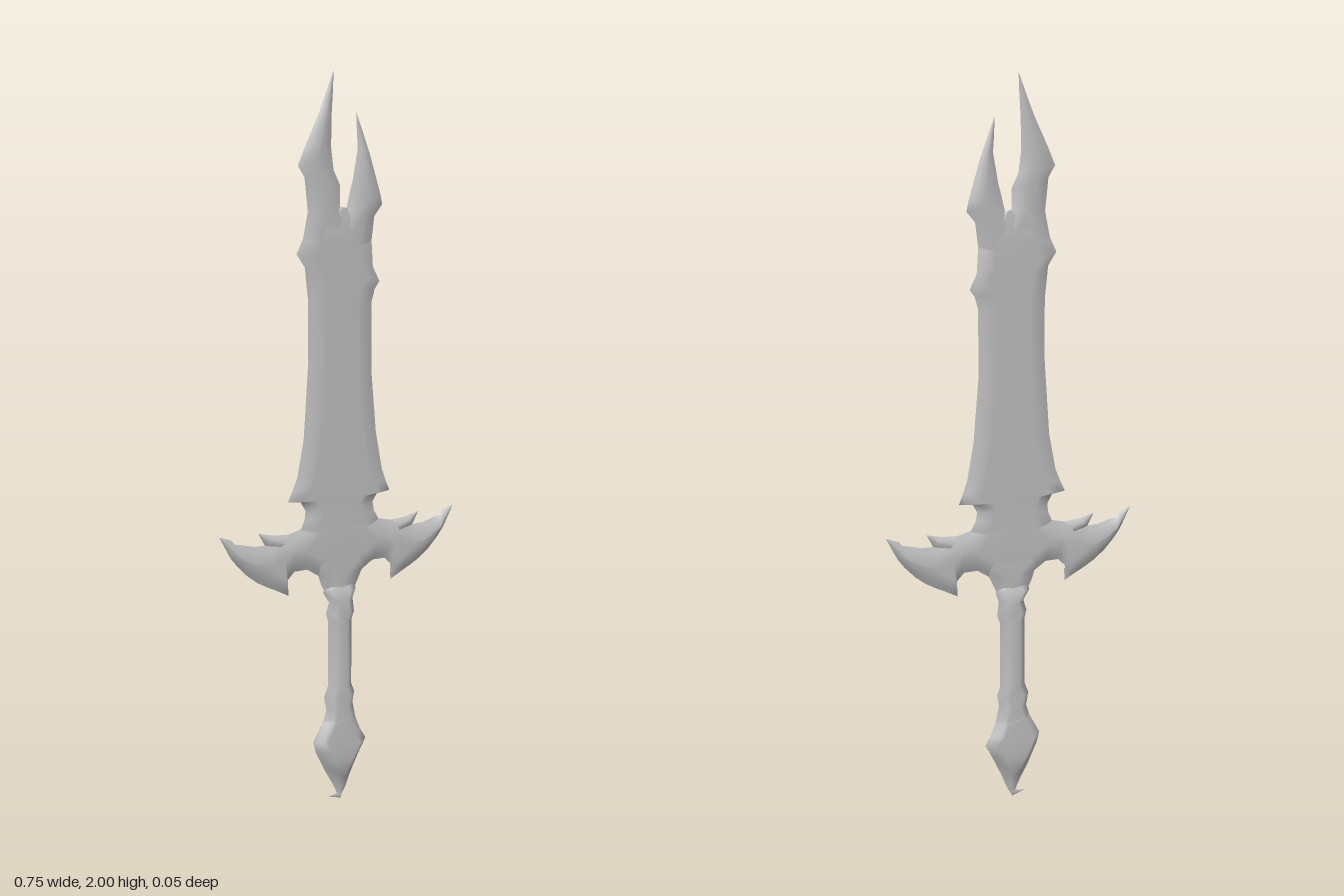
import * as THREE from 'three';

const steel = new THREE.MeshStandardMaterial({ color: 0xbcbcbc });
steel.name = 'grey steel';

// Loft between two outline rails. Each row is [ax, ay, bx, by, halfThickness?].
// The section rises from a sharp rim to a flat middle over the bevel width.
function loft(name, rows, thick, bevel) {
  const rise = [0, 0.3, 0.65, 1];
  const cols = rise.length * 2;
  // signed area of the outline decides the winding
  const outline = rows.map(r => new THREE.Vector2(r[0], r[1]))
    .concat(rows.map(r => new THREE.Vector2(r[2], r[3])).reverse());
  const flip = THREE.ShapeUtils.area(outline) > 0;
  const pos = [], idx = [];
  for (const side of [1, -1]) {
    const base = pos.length / 3;
    for (const [ax, ay, bx, by, t = thick] of rows) {
      const w = Math.hypot(bx - ax, by - ay);
      const inset = w > 0 ? Math.min(bevel / w, 0.48) : 0;
      const top = t * Math.min(1, w / 0.06);
      for (let c = 0; c < cols; c++) {
        const d = rise[Math.min(c, cols - 1 - c)];
        const u = c < cols / 2 ? d * inset : 1 - d * inset;
        pos.push(ax + (bx - ax) * u, ay + (by - ay) * u, side * top * Math.sin(d * Math.PI / 2));
      }
    }
    for (let r = 0; r < rows.length - 1; r++) {
      for (let c = 0; c < cols - 1; c++) {
        const a = base + r * cols + c, b = a + 1, e = a + cols, f = e + 1;
        if ((side > 0) !== flip) idx.push(a, b, f, a, f, e);
        else idx.push(a, f, b, a, e, f);
      }
    }
  }
  const geo = new THREE.BufferGeometry();
  geo.setAttribute('position', new THREE.Float32BufferAttribute(pos, 3));
  geo.setIndex(idx);
  geo.computeVertexNormals();
  const mesh = new THREE.Mesh(geo, steel);
  mesh.name = name;
  return mesh;
}

const mirror = rows => rows.map(([ax, ay, bx, by]) => [-ax, ay, -bx, by]);

export function createModel() {
  const sword = new THREE.Group();
  sword.name = 'sword';

  // Blade body with side barbs, ending in the crotch of the fork
  sword.add(loft('blade', [
    [-0.035, 0.58, 0.035, 0.58], [-0.06, 0.62, 0.055, 0.62],
    [-0.07, 0.65, 0.07, 0.65], [-0.10, 0.68, 0.10, 0.68],
    [-0.125, 0.785, 0.125, 0.785], [-0.113, 0.81, 0.11, 0.81],
    [-0.11, 0.835, 0.105, 0.835], [-0.125, 0.86, 0.118, 0.857],
    [-0.165, 0.865, 0.16, 0.862], [-0.15, 0.895, 0.148, 0.89],
    [-0.135, 0.93, 0.135, 0.925], [-0.115, 1.03, 0.115, 1.03],
    [-0.10, 1.24, 0.10, 1.20], [-0.10, 1.40, 0.10, 1.385],
    [-0.11, 1.49, 0.11, 1.42], [-0.135, 1.525, 0.125, 1.44],
    [-0.115, 1.565, 0.104, 1.48], [-0.10, 1.60, 0.098, 1.57],
    [0, 1.645, 0.02, 1.64],
  ], 0.013, 0.05));

  // Two prongs of the forked tip
  sword.add(loft('longProng', [
    [-0.115, 1.565, 0.06, 1.54], [-0.10, 1.635, 0, 1.645],
    [-0.11, 1.725, 0, 1.70], [-0.13, 1.755, -0.02, 1.74],
    [-0.11, 1.80, -0.028, 1.80], [-0.065, 1.89, -0.026, 1.89],
    [-0.04, 1.95, -0.022, 1.95], [-0.02, 2, -0.02, 2],
  ], 0.013, 0.045));
  sword.add(loft('shortProng', [
    [-0.04, 1.54, 0.098, 1.54], [0.02, 1.64, 0.108, 1.615],
    [0.03, 1.68, 0.133, 1.645], [0.04, 1.715, 0.128, 1.67],
    [0.055, 1.795, 0.093, 1.78], [0.052, 1.84, 0.07, 1.84],
    [0.05, 1.89, 0.05, 1.89],
  ], 0.013, 0.045));

  // Guard wings with a hook below and a barb above
  const wing = [
    [0, 0.84, 0, 0.64], [0.07, 0.82, 0.07, 0.65],
    [0.12, 0.787, 0.105, 0.672], [0.165, 0.777, 0.145, 0.672],
    [0.195, 0.77, 0.168, 0.65], [0.205, 0.767, 0.165, 0.608],
    [0.222, 0.76, 0.2, 0.626], [0.235, 0.756, 0.23, 0.64],
    [0.27, 0.757, 0.26, 0.656], [0.31, 0.767, 0.292, 0.68],
    [0.33, 0.771, 0.322, 0.71], [0.337, 0.782, 0.342, 0.735],
    [0.374, 0.796, 0.374, 0.794],
  ];
  const barb = [
    [0.165, 0.777, 0.2, 0.735], [0.212, 0.78, 0.237, 0.756], [0.257, 0.791, 0.257, 0.791],
  ];
  for (const [label, side] of [['left', r => r], ['right', mirror]]) {
    sword.add(loft(label + 'GuardWing', side(wing), 0.0135, 0.05));
    sword.add(loft(label + 'GuardBarb', side(barb), 0.012, 0.03));
  }

  // Grip with knobbly collars
  sword.add(loft('grip', [
    [-0.045, 0.62, 0.045, 0.62, 0.008], [-0.055, 0.60, 0.05, 0.60, 0.02],
    [-0.036, 0.57, 0.04, 0.575], [-0.046, 0.54, 0.045, 0.535],
    [-0.04, 0.52, 0.037, 0.515], [-0.04, 0.45, 0.037, 0.45],
    [-0.04, 0.33, 0.036, 0.33], [-0.052, 0.30, 0.046, 0.305],
    [-0.045, 0.265, 0.04, 0.275], [-0.055, 0.235, 0.05, 0.23],
  ], 0.025, 0.028));

  // Pommel tapering to a point, with a small spur
  sword.add(loft('pommel', [
    [-0.055, 0.235, 0.05, 0.23], [-0.087, 0.178, 0.066, 0.192],
    [-0.08, 0.15, 0.083, 0.165], [-0.065, 0.12, 0.06, 0.125],
    [-0.05, 0.09, 0.045, 0.095, 0.022], [-0.035, 0.065, 0.03, 0.065, 0.01],
    [-0.018, 0.035, 0.018, 0.035, 0.009], [-0.003, 0, -0.003, 0],
  ], 0.026, 0.032));
  sword.add(loft('pommelSpur', [
    [-0.042, 0.014, -0.042, 0.014], [-0.02, 0.016, -0.02, 0.008], [0.005, 0.03, 0, 0.002],
  ], 0.007, 0.01));

  return sword;
}
